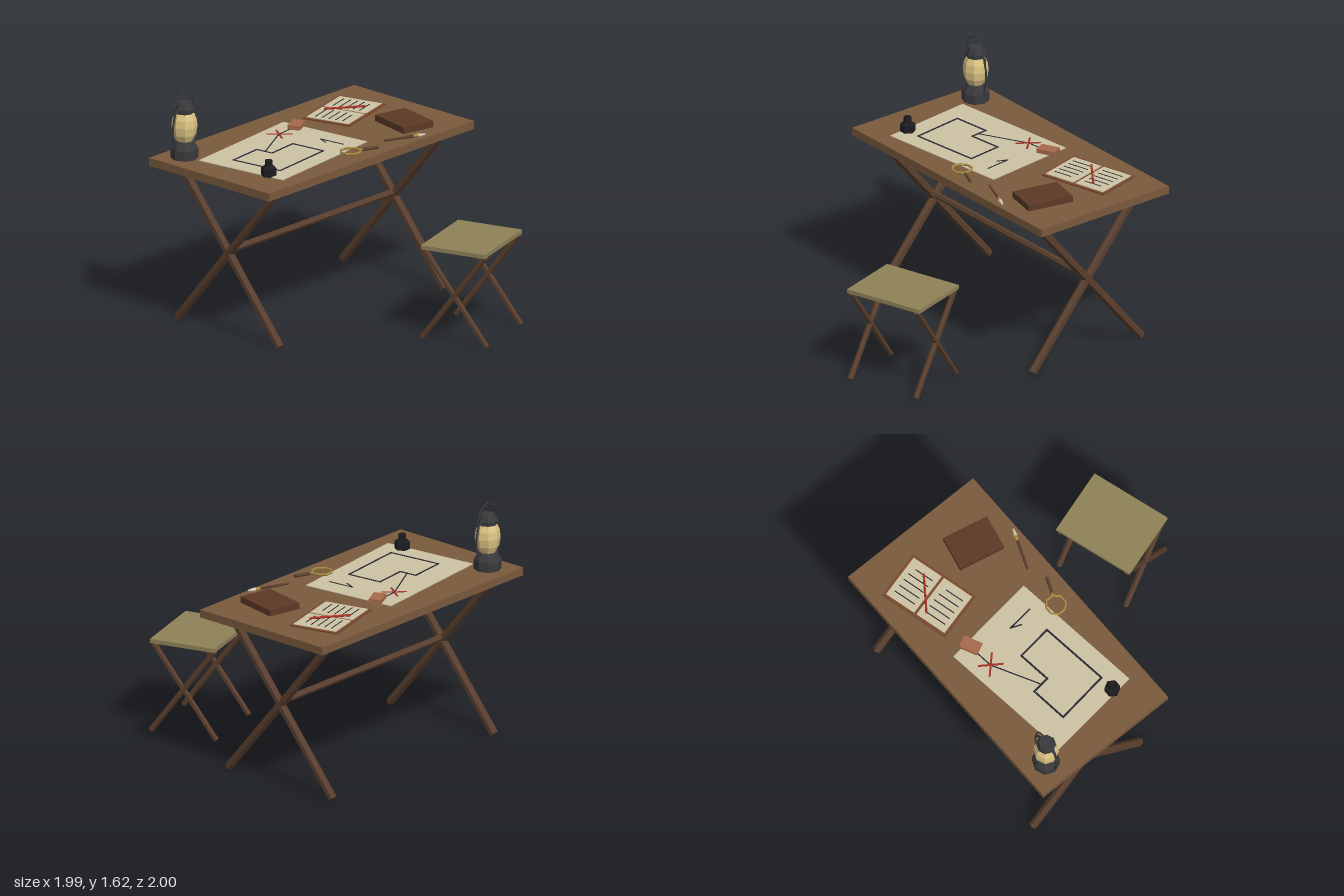
import * as THREE from 'three';

const TOP = 1.155; // height of the table surface

const paint = (color) => new THREE.MeshStandardMaterial({ color, flatShading: true });
const M = {
  top: paint(0x7a5a3c), leg: paint(0x5a3f2e), canvas: paint(0x8f8258), paper: paint(0xcdc3a5),
  ink: paint(0x2b2a33), red: paint(0xa83226), clay: paint(0xa8694a), leather: paint(0x5c3a26),
  cover: paint(0x7a4a2e), iron: paint(0x3a3a3d), black: paint(0x1c1c1f), glass: paint(0xdcc482),
  brass: paint(0xa88a45), bristle: paint(0xd6cdb4),
};

const V = (x, y, z) => new THREE.Vector3(x, y, z);

function add(parent, name, geometry, material, x = 0, y = 0, z = 0, turn = 0) {
  const mesh = new THREE.Mesh(geometry, material);
  mesh.name = name;
  mesh.position.set(x, y, z);
  mesh.rotation.y = turn;
  parent.add(mesh);
  return mesh;
}

function group(parent, name, x = 0, y = 0, z = 0, turn = 0) {
  const g = new THREE.Group();
  g.name = name;
  g.position.set(x, y, z);
  g.rotation.y = turn;
  parent.add(g);
  return g;
}

const box = (w, h, d) => new THREE.BoxGeometry(w, h, d);

// Round bar from a to b
function rod(parent, name, a, b, r0, material, r1 = r0, sides = 6) {
  const length = a.distanceTo(b);
  const mesh = add(parent, name, new THREE.CylinderGeometry(r1, r0, length, sides), material);
  mesh.position.copy(a).lerp(b, 0.5);
  mesh.quaternion.setFromUnitVectors(V(0, 1, 0), b.clone().sub(a).normalize());
  return mesh;
}

// Flat pen strokes along a list of [x, z] points
function strokes(parent, name, points, y, material, width = 0.013) {
  for (let i = 1; i < points.length; i++) {
    const [x0, z0] = points[i - 1], [x1, z1] = points[i];
    const length = Math.hypot(x1 - x0, z1 - z0) + width * 0.8;
    add(parent, name, box(length, 0.003, width), material,
      (x0 + x1) / 2, y, (z0 + z1) / 2, -Math.atan2(z1 - z0, x1 - x0));
  }
}

function lathe(parent, name, profile, material, sides = 8) {
  const points = profile.map(([r, y]) => new THREE.Vector2(r, y));
  return add(parent, name, new THREE.LatheGeometry(points, sides), material);
}

// Pairs of crossed legs at x = -span and x = +span
function crossedLegs(parent, span, reach, topReach, low, high, radius) {
  for (const x of [-span, span]) {
    for (const s of [-1, 1]) {
      rod(parent, 'crossedLeg', V(x, low, s * reach), V(x, high, -s * topReach), radius, M.leg);
    }
  }
}

function buildTable(root) {
  const table = group(root, 'table', 0, 0, -0.465);
  add(table, 'tableTop', box(1.99, 0.055, 1.07), M.top, 0, 1.1275, 0);
  crossedLegs(table, 0.8, 0.455, 0.44, 0.022, 1.1, 0.03);
  rod(table, 'stretcher', V(-0.8, 0.588, 0), V(0.8, 0.588, 0), 0.023, M.leg);
}

function buildStool(root) {
  const stool = group(root, 'stool', 0.305, 0, 0.68, 0.3);
  add(stool, 'stoolSeat', box(0.572, 0.028, 0.465), M.canvas, 0, 0.65, 0);
  crossedLegs(stool, 0.26, 0.235, 0.222, 0.018, 0.638, 0.02);
}

function buildLantern(root) {
  const lantern = group(root, 'lantern', -0.83, TOP, -0.835);
  lathe(lantern, 'lanternBase',
    [[0, 0], [0.092, 0], [0.092, 0.065], [0.06, 0.12], [0, 0.12]], M.iron);
  lathe(lantern, 'lanternGlass',
    [[0.056, 0.12], [0.078, 0.165], [0.086, 0.22], [0.08, 0.27], [0.058, 0.32]], M.glass);
  lathe(lantern, 'lanternCap',
    [[0, 0.312], [0.062, 0.312], [0.066, 0.34], [0.048, 0.383], [0, 0.383]], M.iron);
  for (const s of [-1, 1]) {
    // side guards
    const guard = [[0.085, 0.06], [0.109, 0.16], [0.109, 0.24], [0.088, 0.32], [0.055, 0.35]];
    for (let i = 1; i < guard.length; i++) {
      rod(lantern, 'sideGuard', V(s * guard[i - 1][0], guard[i - 1][1], 0),
        V(s * guard[i][0], guard[i][1], 0), 0.007, M.iron);
    }
    // bail handle
    const bail = [[0.104, 0.27], [0.098, 0.345], [0.072, 0.42], [0, 0.463]];
    for (let i = 1; i < bail.length; i++) {
      rod(lantern, 'bailHandle', V(s * bail[i - 1][0], bail[i - 1][1], 0),
        V(s * bail[i][0], bail[i][1], 0), 0.0045, M.iron);
    }
  }
}

function buildMap(root) {
  const map = group(root, 'map', 0, TOP, 0);
  add(map, 'mapSheet', box(0.95, 0.005, 0.677), M.paper, -0.307, 0.0025, -0.437, 0.12);
  const y = 0.006;
  strokes(map, 'mapOutline', [[-0.665, -0.55], [-0.405, -0.58], [-0.392, -0.457],
    [-0.16, -0.485], [-0.13, -0.24], [-0.615, -0.18], [-0.665, -0.55]], y, M.ink);
  strokes(map, 'mapRoute', [[-0.392, -0.515], [-0.08, -0.682], [0.04, -0.695]], y, M.ink, 0.008);
  strokes(map, 'mapArrow', [[0.055, -0.235], [0.034, -0.415], [0.006, -0.345]], y, M.ink, 0.009);
  strokes(map, 'mapCross', [[-0.135, -0.735], [-0.022, -0.622]], y + 0.001, M.red);
  strokes(map, 'mapCross', [[-0.036, -0.745], [-0.125, -0.615]], y + 0.001, M.red);
  add(map, 'clayBlock', box(0.13, 0.03, 0.085), M.clay, 0.105, 0.019, -0.697, 0.45);
}

function buildJournal(root) {
  const journal = group(root, 'journal', 0.55, TOP, -0.68, 0.255);
  add(journal, 'journalCover', box(0.508, 0.01, 0.35), M.cover, 0, 0.005, 0);
  for (const s of [-1, 1]) {
    add(journal, 'journalPage', box(0.226, 0.008, 0.312), M.paper, s * 0.122, 0.01, 0);
    for (let i = 0; i < 5; i++) {
      const z = -0.105 + i * 0.05;
      const end = i === 4 ? 0.05 : 0.075;
      strokes(journal, 'writing', [[s * 0.122 - 0.08, z], [s * 0.122 + end, z]], 0.0145, M.ink, 0.007);
    }
  }
  rod(root, 'redPencil', V(0.462, TOP + 0.022, -0.775), V(0.685, TOP + 0.022, -0.613), 0.008, M.red);
}

function buildTools(root) {
  // closed book
  const book = group(root, 'closedBook', 0.638, TOP, -0.225, -0.21);
  add(book, 'bookCover', box(0.24, 0.043, 0.325), M.leather, 0, 0.0215, 0);

  // magnifying glass
  const magnifier = group(root, 'magnifier', -0.035, TOP + 0.015, -0.085, -0.4);
  const ring = add(magnifier, 'magnifierRing', new THREE.TorusGeometry(0.068, 0.008, 6, 8), M.brass);
  ring.rotation.x = Math.PI / 2;
  rod(magnifier, 'magnifierHandle', V(0.085, 0, 0), V(0.2, 0, 0), 0.011, M.leg);
  rod(magnifier, 'magnifierCollar', V(0.066, 0, 0), V(0.09, 0, 0), 0.008, M.brass);

  // paint brush
  const brush = group(root, 'brush', 0.275, TOP + 0.014, -0.068, -0.38);
  rod(brush, 'brushHandle', V(0, 0, 0), V(0.21, 0, 0), 0.007, M.leg, 0.01);
  rod(brush, 'brushFerrule', V(0.21, 0, 0), V(0.245, 0, 0), 0.012, M.brass, 0.014);
  rod(brush, 'brushBristles', V(0.245, 0, 0), V(0.298, 0, 0), 0.014, M.bristle, 0.006);

  // ink bottle
  const bottle = group(root, 'inkBottle', -0.725, TOP, -0.18, Math.PI / 6);
  lathe(bottle, 'bottleBody',
    [[0, 0], [0.052, 0], [0.052, 0.055], [0.024, 0.075], [0, 0.075]], M.black, 6);
  add(bottle, 'bottleStopper', new THREE.CylinderGeometry(0.026, 0.026, 0.035, 6), M.black, 0, 0.09, 0);
}

export function createModel() {
  const root = new THREE.Group();
  root.name = 'mapTableAndStool';
  for (const build of [buildTable, buildStool, buildLantern, buildMap, buildJournal, buildTools]) {
    build(root);
  }
  return root;
}
